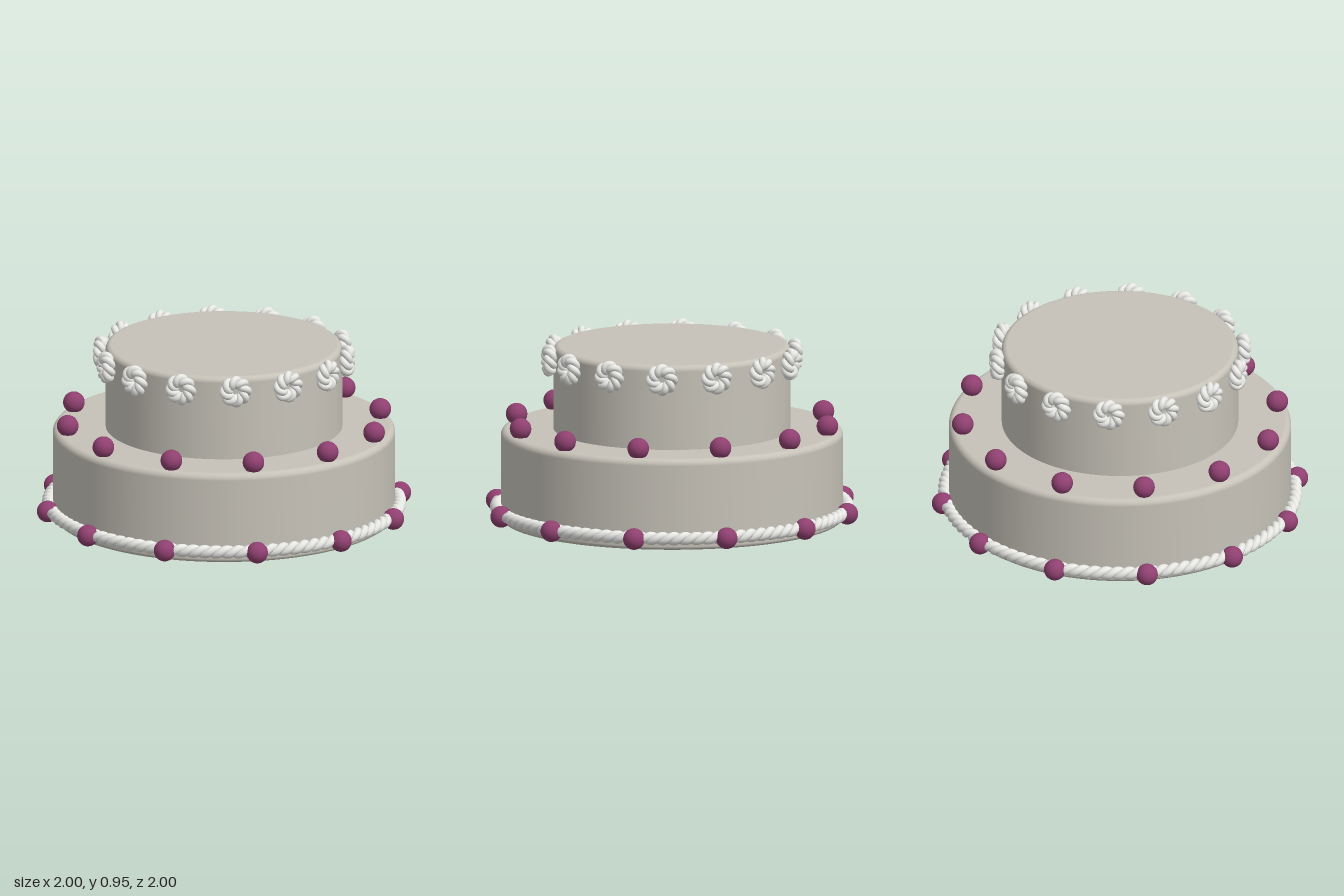
import * as THREE from 'three';
import { mergeGeometries } from 'three/addons/utils/BufferGeometryUtils.js';

const material = (name, color) => {
  const m = new THREE.MeshStandardMaterial({ color });
  m.name = name;
  return m;
};

// A strand that coils around a ring of radius R lying in the xy plane
class CoilCurve extends THREE.Curve {
  constructor(R, coil, turns, phase) {
    super();
    Object.assign(this, { R, coil, turns, phase });
  }
  getPoint(t, target = new THREE.Vector3()) {
    const u = t * Math.PI * 2;
    const v = this.turns * u + this.phase;
    const r = this.R + this.coil * Math.cos(v);
    return target.set(r * Math.cos(u), r * Math.sin(u), this.coil * Math.sin(v));
  }
}

// Two strands twisted into a closed ring of rope
function twistedRing(R, coil, thickness, turns, segments) {
  return mergeGeometries([0, Math.PI].map((phase) =>
    new THREE.TubeGeometry(new CoilCurve(R, coil, turns, phase), segments, thickness, 10, true)));
}

// Round cake tier with softened rims
function tierGeometry(radius, y0, y1, bottomRound, topRound) {
  const pts = [new THREE.Vector2(0, y0)];
  const arc = (cy, r, from) => {
    for (let i = 0; i <= 6; i++) {
      const a = from + (i / 6) * Math.PI / 2;
      pts.push(new THREE.Vector2(radius - r + r * Math.cos(a), cy + r * Math.sin(a)));
    }
  };
  arc(y0 + bottomRound, bottomRound, -Math.PI / 2);
  arc(y1 - topRound, topRound, 0);
  pts.push(new THREE.Vector2(0, y1));
  return new THREE.LatheGeometry(pts, 96);
}

export function createModel() {
  const cake = new THREE.Group();
  cake.name = 'cake';
  const icing = material('greyIcing', 0xc6c2b8);
  const cream = material('whiteCream', 0xe9e9e6);
  const berry = material('purpleBerry', 0x8f4070);

  const add = (name, geometry, mat, parent = cake) => {
    const mesh = new THREE.Mesh(geometry, mat);
    mesh.name = name;
    parent.add(mesh);
    return mesh;
  };

  // Tiers
  add('lowerTier', tierGeometry(0.9, 0.005, 0.49, 0.02, 0.035), icing);
  add('upperTier', tierGeometry(0.622, 0.47, 0.938, 0.005, 0.03), icing);

  // Piped rope around the base
  const rope = add('baseRope', twistedRing(0.922, 0.014, 0.022, 48, 768), cream);
  rope.rotation.x = -Math.PI / 2;
  rope.position.y = 0.072;

  // Swirled rosettes around the upper rim
  const rosettes = new THREE.Group();
  rosettes.name = 'rosettes';
  cake.add(rosettes);
  const rosetteGeo = twistedRing(0.05, 0.017, 0.019, 4, 72);
  for (let i = 0; i < 14; i++) {
    const a = (i / 14) * Math.PI * 2;
    const rosette = add('rosette', rosetteGeo, cream, rosettes);
    rosette.position.set(0.653 * Math.sin(a), 0.87, 0.653 * Math.cos(a));
    rosette.rotation.y = a;
  }

  // Two rings of berries: around the base and on the ledge
  const berryGeo = new THREE.SphereGeometry(0.057, 28, 18);
  const rings = [['baseBerries', 0.943, 0.07], ['ledgeBerries', 0.836, 0.534]];
  for (const [name, radius, y] of rings) {
    const ring = new THREE.Group();
    ring.name = name;
    cake.add(ring);
    for (let i = 0; i < 12; i++) {
      const a = (i / 12) * Math.PI * 2 + 0.057;
      add('berry', berryGeo, berry, ring)
        .position.set(radius * Math.cos(a), y, radius * Math.sin(a));
    }
  }
  return cake;
}
